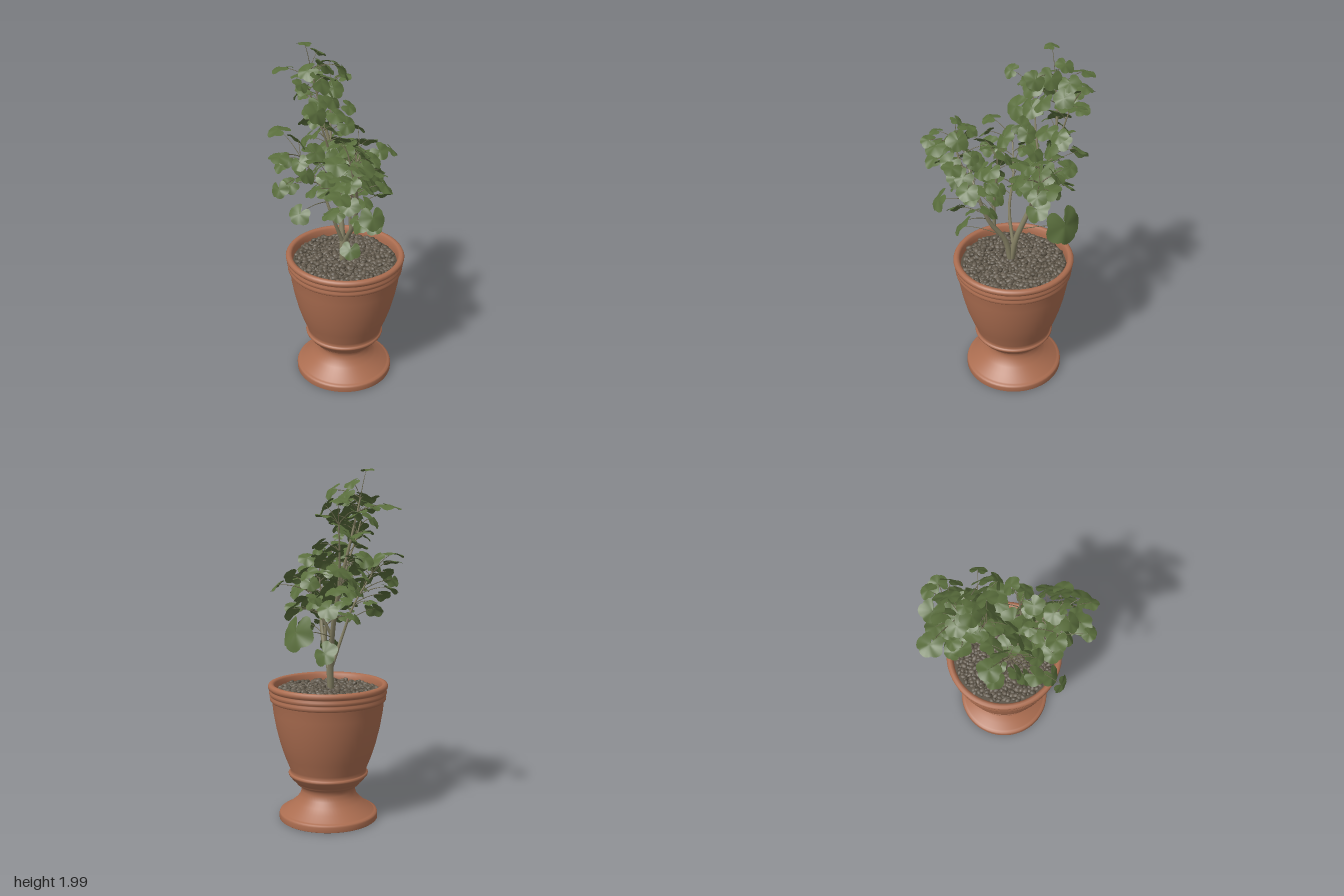
import * as THREE from 'three';
import { mergeGeometries } from 'three/addons/utils/BufferGeometryUtils.js';

const V = (x, y, z) => new THREE.Vector3(x, y, z);
const mat = (name, color, side = THREE.FrontSide) => {
  const m = new THREE.MeshStandardMaterial({ color, side });
  m.name = name;
  return m;
};

export function createModel() {
  const terracotta = mat('terracotta', 0xab6d50);
  const stoneLight = mat('light pebble', 0x675e51);
  const stoneDark = mat('dark pebble', 0x585043);
  const bark = mat('bark', 0x858064);
  const leafGreen = mat('leaf green', 0x596d3c, THREE.DoubleSide);
  const stalkGreen = mat('stalk', 0x6e6b4f);

  const model = new THREE.Group();
  let seed = 7;
  const rnd = () => (seed = (seed * 16807) % 2147483647) / 2147483647;
  const spread = () => rnd() * 2 - 1;
  const add = (parent, name, geometry, material) => {
    const mesh = new THREE.Mesh(geometry, material);
    mesh.name = name;
    parent.add(mesh);
    return mesh;
  };

  // Urn with a hollow foot, a narrow neck and a beaded rim
  const pot = new THREE.Group();
  pot.name = 'pot';
  pot.position.set(0.067, 0, 0.07);
  model.add(pot);
  const profile = [
    [0, 0.13], [0.1, 0.125], [0.15, 0.1], [0.21, 0.05], [0.262, 0.006], [0.266, 0], [0.282, 0], [0.286, 0.003],
    [0.286, 0.03], [0.282, 0.04], [0.27, 0.043], [0.262, 0.048], [0.225, 0.075], [0.19, 0.105], [0.165, 0.135],
    [0.156, 0.165], [0.158, 0.185], [0.168, 0.2], [0.182, 0.206], [0.187, 0.213], [0.19, 0.22], [0.2, 0.228],
    [0.212, 0.24], [0.222, 0.256], [0.229, 0.262], [0.231, 0.27], [0.226, 0.277], [0.219, 0.28], [0.222, 0.3],
    [0.25, 0.37], [0.276, 0.45], [0.298, 0.54], [0.314, 0.63], [0.321, 0.695], [0.327, 0.698], [0.333, 0.706],
    [0.334, 0.718], [0.329, 0.727], [0.331, 0.732], [0.337, 0.739], [0.337, 0.751], [0.331, 0.76], [0.334, 0.764],
    [0.342, 0.772], [0.344, 0.784], [0.339, 0.794], [0.328, 0.799], [0.316, 0.797], [0.307, 0.788], [0.303, 0.76],
    [0.3, 0.7],
  ].map(([r, y]) => new THREE.Vector2(r, y));
  add(pot, 'urn', new THREE.LatheGeometry(profile, 56), terracotta);

  // Gravel: rounded pebbles in a sunflower spiral over a dark bed
  const bed = add(pot, 'gravelBed', new THREE.CylinderGeometry(0.304, 0.3, 0.03, 40), stoneDark);
  bed.position.y = 0.73;
  const pebble = new THREE.IcosahedronGeometry(1, 1);
  const heaps = [[], []];
  const count = 540;
  for (let i = 0; i < count; i++) {
    const r = 0.287 * Math.sqrt((i + 0.5) / count), a = i * 2.39996;
    const q = new THREE.Quaternion().setFromEuler(new THREE.Euler(spread() * 0.4, rnd() * 6.28, spread() * 0.4));
    const s = 0.011 + rnd() * 0.005;
    const p = V(r * Math.cos(a) + spread() * 0.006, 0.746 + rnd() * 0.016, r * Math.sin(a) + spread() * 0.006);
    const m = new THREE.Matrix4().compose(p, q, V(s * 1.4, s * 0.85, s));
    heaps[i % 2].push(pebble.clone().applyMatrix4(m));
  }
  add(pot, 'lightPebbles', mergeGeometries(heaps[0]), stoneLight);
  add(pot, 'darkPebbles', mergeGeometries(heaps[1]), stoneDark);

  // Tapered tube through a few points
  const taperTube = (curve, r0, r1, segs, sides) => {
    const g = new THREE.TubeGeometry(curve, segs, 1, sides);
    const pos = g.attributes.position, v = V(0, 0, 0);
    for (let i = 0; i <= segs; i++) {
      const c = curve.getPointAt(i / segs), r = r0 + (r1 - r0) * (i / segs);
      for (let j = 0; j <= sides; j++) {
        const k = i * (sides + 1) + j;
        v.fromBufferAttribute(pos, k).sub(c).multiplyScalar(r).add(c);
        pos.setXYZ(k, v.x, v.y, v.z);
      }
    }
    return g;
  };

  // Branches: start radius, end radius, then points
  const plant = new THREE.Group();
  plant.name = 'plant';
  model.add(plant);
  const branches = [
    [0.019, 0.004, [0.045, 0.74, 0.07], [0.065, 0.9, 0.05], [0.115, 1.1, -0.01], [0.16, 1.35, -0.1], [0.15, 1.6, -0.17], [0.1, 1.84, -0.2]],
    [0.018, 0.004, [0.045, 0.74, 0.07], [0.03, 0.9, 0.1], [-0.01, 1.04, 0.18], [-0.05, 1.22, 0.23], [-0.15, 1.43, 0.27], [-0.18, 1.55, 0.26]],
    [0.01, 0.003, [0.0, 1.0, 0.155], [0.0, 1.18, 0.15], [0.03, 1.32, 0.16], [0.04, 1.46, 0.16]],
    [0.011, 0.003, [0.05, 0.88, 0.06], [-0.01, 1.06, 0.03], [-0.04, 1.24, -0.03], [-0.12, 1.42, -0.1]],
    [0.01, 0.003, [0.11, 1.08, 0.0], [0.18, 1.22, 0.03], [0.24, 1.34, 0.04]],
    [0.009, 0.003, [0.16, 1.35, -0.1], [0.2, 1.53, -0.14], [0.24, 1.7, -0.17]],
    [0.008, 0.003, [0.15, 1.28, -0.08], [0.08, 1.48, -0.09], [0.03, 1.65, -0.12], [0.0, 1.76, -0.13]],
    [0.007, 0.003, [-0.06, 1.24, 0.23], [-0.15, 1.34, 0.2], [-0.23, 1.43, 0.16]],
  ].map(([r0, r1, ...pts]) => ({ r0, r1, curve: new THREE.CatmullRomCurve3(pts.map((p) => V(...p))) }));
  const anchors = [];
  branches.forEach(({ r0, r1, curve }) => {
    add(plant, 'branch', taperTube(curve, r0, r1, 18, 8), bark);
    anchors.push(...curve.getSpacedPoints(30).slice(5));
  });

  // Leaf blade: rippled disc with five shallow lobes and a notch at the stalk, unit radius
  const rings = 4, sectors = 40, verts = [0, 0, 0], faces = [];
  for (let i = 1; i <= rings; i++) {
    for (let j = 0; j < sectors; j++) {
      const a = (j / sectors) * Math.PI * 2, t = i / rings;
      const notch = 1 - 0.75 * Math.exp(-((Math.min(a, Math.PI * 2 - a) / 0.25) ** 2));
      const r = t * notch * (1.03 - 0.15 * t * (1 - Math.abs(Math.sin(a * 2.5)) ** 0.8) - 0.05 * Math.cos(2 * a));
      const lift = t * t * (0.07 * Math.cos(5 * a) - 0.14) + 0.1 * t * Math.sin(2 * a + 1);
      verts.push(r * Math.sin(a), lift, -r * Math.cos(a));
      const n = (j + 1) % sectors, o = 1 + (i - 1) * sectors, p = o - sectors;
      if (i === 1) faces.push(0, o + n, o + j);
      else faces.push(p + j, p + n, o + j, p + n, o + n, o + j);
    }
  }
  const blade = new THREE.BufferGeometry();
  blade.setAttribute('position', new THREE.Float32BufferAttribute(verts, 3));
  blade.setIndex(faces);
  blade.computeVertexNormals();

  const stalks = [], blades = [];
  const addLeaf = (p, radius, normal) => {
    // Join to the nearest branch point, favouring those below the leaf
    let root = anchors[0], best = Infinity;
    for (const a of anchors) {
      const d = a.distanceTo(p) + Math.max(0, a.y - p.y + 0.04) * 2;
      if (d < best) { best = d; root = a; }
    }
    const out = p.clone().sub(root);
    const flat = V(out.x + spread() * 0.05, 0, out.z + spread() * 0.05).normalize();
    const n = normal || V(spread() * 0.6, 0.8, spread() * 0.6).addScaledVector(flat, 0.5);
    n.normalize();
    const side = n.clone().cross(flat).normalize();
    const tip = side.clone().cross(n);
    const m = new THREE.Matrix4().makeBasis(side, n, tip).scale(V(radius, radius, radius)).setPosition(p);
    blades.push(blade.clone().applyMatrix4(m));
    const mid = root.clone().lerp(p, 0.55).add(V(0, 0.03, 0));
    stalks.push(taperTube(new THREE.QuadraticBezierCurve3(root, mid, p), 0.0028, 0.0015, 7, 4));
  };

  // Outlying leaves: x, y, z, radius, then an optional facing
  [
    [0.06, 1.99, -0.21, 0.04, V(0.05, 1, 0)], [0.11, 1.8, -0.41, 0.066, V(0, 1, -0.25)],
    [-0.12, 1.54, -0.25, 0.065], [0.23, 1.77, -0.27, 0.065], [0.32, 1.75, -0.14, 0.05],
    [-0.3, 1.48, -0.1, 0.055], [-0.41, 1.36, -0.01, 0.05, V(-1, 0.4, 0.1)], [-0.31, 1.19, 0.04, 0.06, V(-0.8, 0.6, 0.2)],
    [-0.36, 1.5, 0.25, 0.04], [-0.31, 1.37, 0.31, 0.06], [-0.16, 1.22, 0.41, 0.07, V(-0.4, 0.5, 0.7)],
    [-0.16, 0.98, 0.27, 0.055, V(-0.6, 0.6, 0.5)], [0.395, 1.13, 0, 0.11, V(1, 0.35, 0.1)],
    [0.31, 1.02, -0.13, 0.07, V(1, 0.35, -0.2)], [0.3, 1.24, 0.12, 0.07, V(0.2, 0.6, 0.8)],
    [0.02, 1.33, 0.36, 0.06], [-0.04, 1.66, -0.05, 0.07, V(-0.1, 0.6, 0.8)], [0.09, 1.7, -0.04, 0.06, V(0.1, 0.6, 0.8)],
    [-0.12, 1.83, -0.09, 0.045], [0.17, 1.92, -0.2, 0.05], [0.13, 1.88, -0.02, 0.055, V(0.7, 0.6, 0.3)],
    [-0.2, 1.62, 0.23, 0.035], [0.36, 1.37, 0.18, 0.05], [0.12, 1.22, 0.29, 0.055], [0.18, 1.21, -0.23, 0.05],
  ].forEach(([x, y, z, r, n]) => addLeaf(V(x, y, z), r, n));

  // Further outer leaves in the gaps between the clusters
  [
    [0.24, 1.42, -0.26, 0.055], [0.13, 1.52, -0.26, 0.055], [0.27, 1.6, -0.06, 0.05], [0.3, 1.83, -0.22, 0.045],
    [-0.26, 1.33, 0.09, 0.055], [-0.24, 1.45, -0.01, 0.05], [0.22, 1.41, 0.19, 0.055], [-0.04, 1.1, 0.34, 0.05],
    [-0.13, 1.16, 0.12, 0.05], [0.36, 1.45, -0.06, 0.05], [0.05, 1.8, -0.09, 0.07], [0.2, 1.66, -0.29, 0.06],
    [-0.26, 1.53, 0.38, 0.045], [-0.07, 1.44, 0.38, 0.055], [0.17, 1.34, -0.04, 0.085], [0.29, 1.31, 0.02, 0.07],
    [-0.1, 1.31, 0.14, 0.065], [-0.07, 1.12, 0.25, 0.045],
  ].forEach(([x, y, z, r]) => addLeaf(V(x, y, z), r));

  // Leaf clusters: centre, half extents, number of leaves
  [
    [0.12, 1.75, -0.16, 0.19, 0.17, 0.15, 16],
    [0.16, 1.5, -0.12, 0.17, 0.13, 0.17, 12],
    [0.2, 1.33, -0.05, 0.19, 0.14, 0.19, 13],
    [-0.17, 1.45, 0.24, 0.19, 0.15, 0.17, 17],
    [-0.1, 1.24, 0.2, 0.18, 0.14, 0.19, 11],
    [0.07, 1.39, 0.14, 0.18, 0.14, 0.18, 12],
    [-0.12, 1.38, -0.09, 0.17, 0.16, 0.15, 9],
  ].forEach(([x, y, z, rx, ry, rz, n]) => {
    for (let i = 0; i < n; i++) {
      const h = 1 - (2 * (i + 0.5)) / n, w = Math.sqrt(1 - h * h), a = i * 2.39996 + x * 9, f = 0.5 + 0.5 * rnd();
      addLeaf(V(x + rx * f * w * Math.cos(a), y + ry * f * h, z + rz * f * w * Math.sin(a)), 0.042 + rnd() * 0.026);
    }
  });
  add(plant, 'leaves', mergeGeometries(blades), leafGreen);
  add(plant, 'leafStalks', mergeGeometries(stalks), stalkGreen);
  return model;
}
